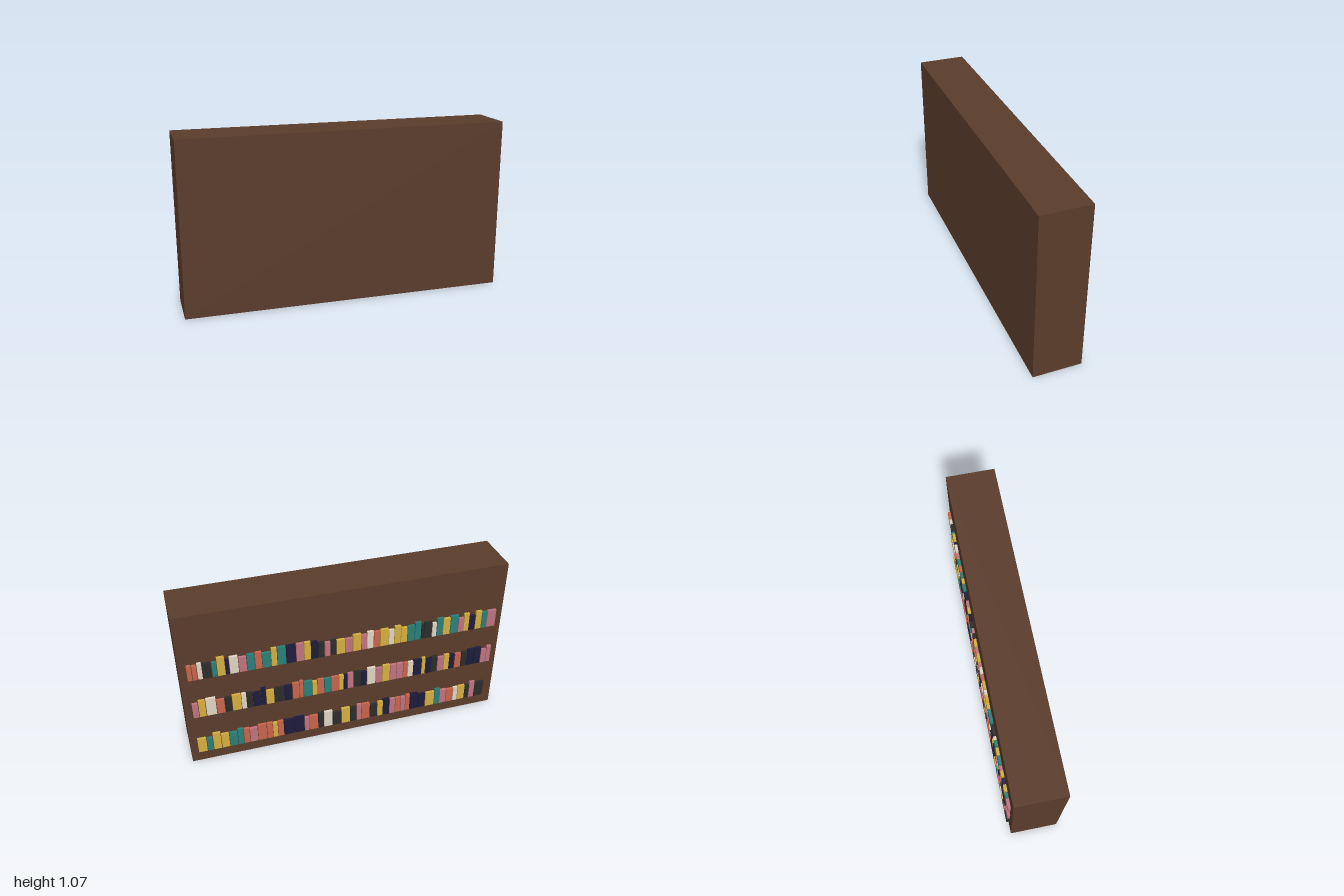
import * as THREE from 'three';

const mat = (color) => new THREE.MeshStandardMaterial({ color });
const covers = {
  R: mat(0xc8644a), Y: mat(0xd4af3f), T: mat(0x2a7f78), P: mat(0xc0747e),
  W: mat(0xe0d5c2), N: mat(0x1e1c3c), K: mat(0x2c2c2c),
};

// Each row: shelf height, end x, then cover letter + relative width, from +x to -x
const rows = [
  { y: 0.08, end: -0.937, books: 'Y9 T6 Y8 Y8 T8 T6 R6 P8 R9 R6 Y5 R6 N10 N11 P5 R9 K6 W9 K9 Y9 K7 P5 R9 K8 Y6 N7 P6 R6 P5 R5 N9 N8 Y10 T6 P7 R8 W5 Y8 K5 P6 K10' },
  { y: 0.36, end: -0.955, books: 'P6 Y7 W10 R8 K7 Y9 W5 K6 N8 N5 Y8 K10 N8 R7 R4 T9 Y5 R7 T7 R8 Y5 N4 P6 K8 N6 W9 P7 Y8 P7 P7 R5 W6 N9 Y4 N6 K7 P7 Y6 N6 R7 K7 N7 N8 P6 P5' },
  { y: 0.64, end: -0.955, books: 'R5 R5 W5 K9 T5 Y8 N4 W9 P8 T8 R7 T9 Y6 T9 N10 P8 Y7 N7 K7 P6 K6 Y9 P8 Y9 P6 W7 R7 Y9 W6 Y7 Y7 T8 T7 K3 K9 W5 T7 Y8 T9 P6 Y6 N7 Y7 T6 P10' },
];

let seed = 7;
const rand = () => (seed = (seed * 16807) % 2147483647) / 2147483647;

export function createModel() {
  const model = new THREE.Group();

  // Solid case
  const body = new THREE.Mesh(new THREE.BoxGeometry(2, 1.066, 0.297), mat(0x5a3c2b));
  body.name = 'caseBody';
  body.position.set(0, 0.533, 0.0085);
  model.add(body);

  // Rows of book spines standing proud of the back face
  const start = 0.957, gap = 0.004;
  rows.forEach(({ y, end, books }, r) => {
    const row = new THREE.Group();
    row.name = `bookRow${r + 1}`;
    const list = books.split(' ').map((s) => [s[0], Number(s.slice(1))]);
    const unit = (start - end) / list.reduce((sum, b) => sum + b[1], 0);
    let x = start;
    list.forEach(([cover, size], i) => {
      const w = size * unit;
      const h = i === 0 ? 0.104 : 0.098 + 0.03 * rand();
      const book = new THREE.Mesh(new THREE.BoxGeometry(w - gap, h, 0.02), covers[cover]);
      book.name = 'book';
      book.position.set(x - w / 2, y + h / 2, -0.147);
      row.add(book);
      x -= w;
    });
    model.add(row);
  });
  return model;
}
